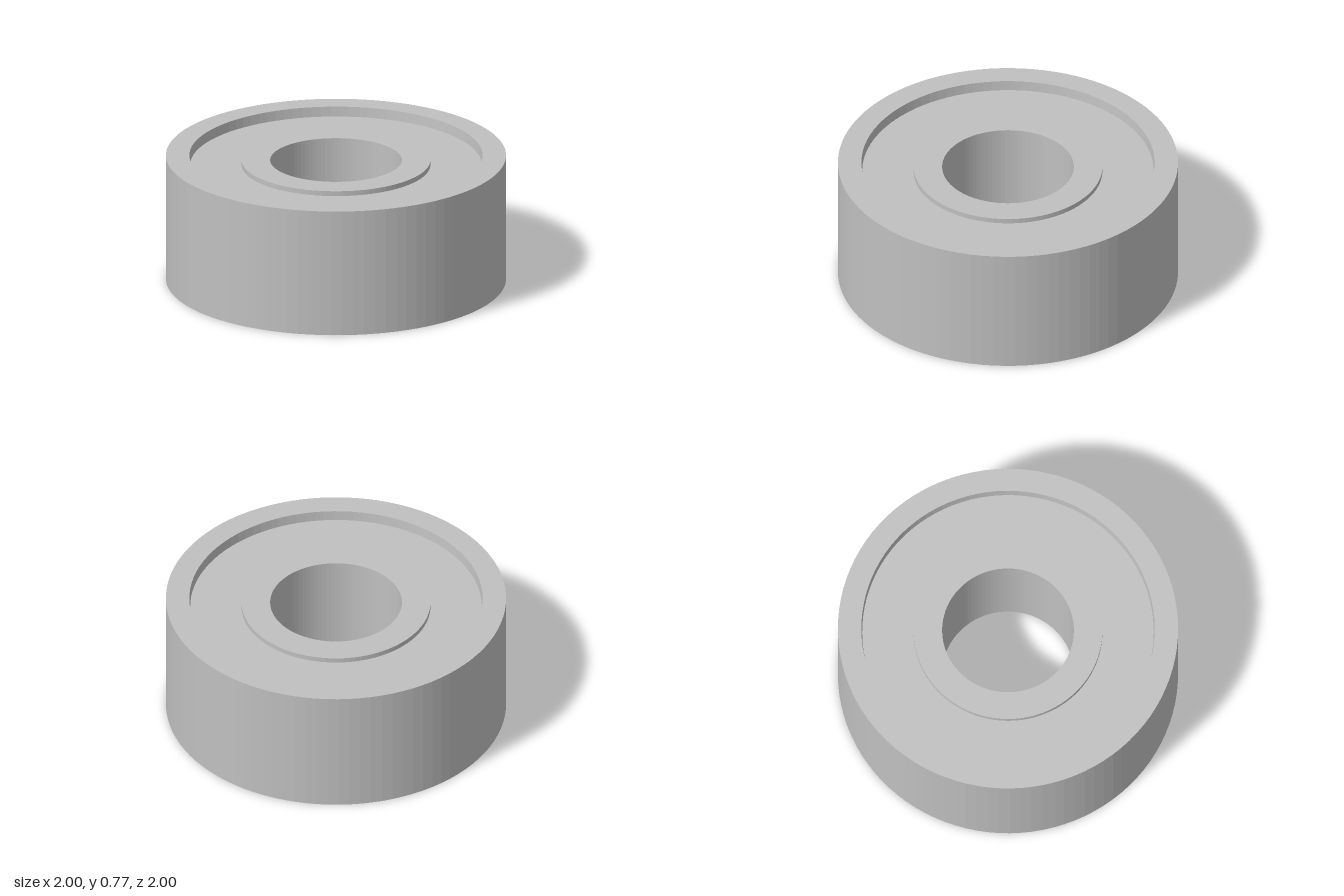
import * as THREE from 'three';

const SEGMENTS = 96;

export function createModel() {
  const model = new THREE.Group();
  model.name = 'ballBearing';

  const steel = new THREE.MeshStandardMaterial({ color: 0xc0c0c0 });
  steel.name = 'steel';
  steel.flatShading = true;

  // Revolves a closed [radius, height] profile, listed counter-clockwise
  function addRing(name, profile) {
    const points = [...profile, profile[0]].map(([r, y]) => new THREE.Vector2(r, y));
    const mesh = new THREE.Mesh(new THREE.LatheGeometry(points, SEGMENTS), steel);
    mesh.name = name;
    model.add(mesh);
  }

  // Outer race, with a deeper recess on top than below
  addRing('outerRace', [
    [0.836, 0], [1, 0], [1, 0.77], [0.862, 0.77], [0.857, 0.71], [0.836, 0.03],
  ]);

  // Inner race with a wider shoulder at the top, set slightly below the rim
  addRing('innerRace', [
    [0.387, 0], [0.483, 0], [0.483, 0.1], [0.555, 0.64], [0.555, 0.74], [0.387, 0.74],
  ]);

  // Seals closing the space between the races
  addRing('topSeal', [[0.54, 0.66], [0.856, 0.66], [0.858, 0.71], [0.54, 0.71]]);
  addRing('bottomSeal', [[0.475, 0.03], [0.838, 0.03], [0.838, 0.08], [0.475, 0.08]]);

  return model;
}
